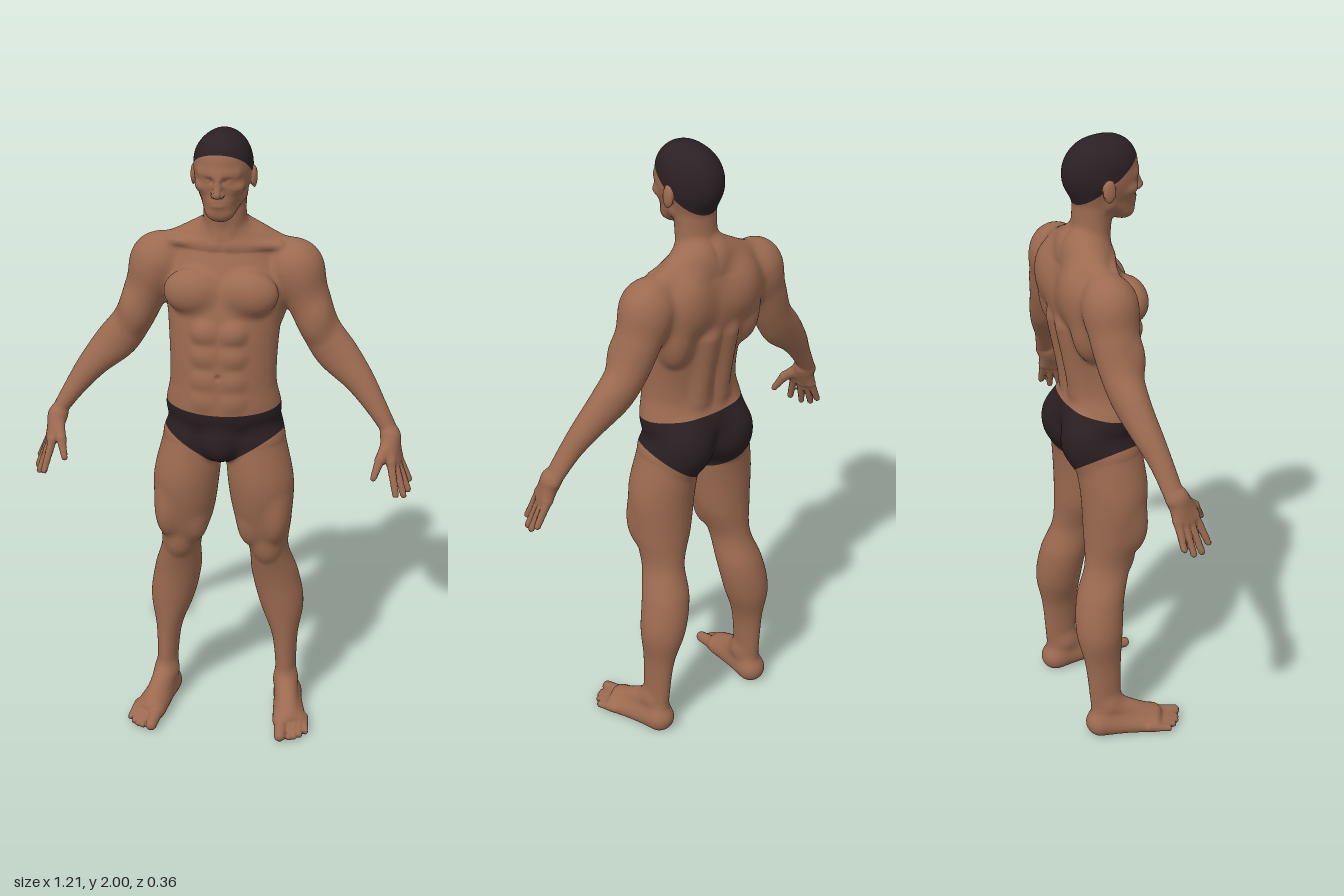
import * as THREE from 'three';

const { abs, sqrt, min, max, floor, hypot } = Math;
const mat = (name, color) => Object.assign(new THREE.MeshStandardMaterial({ color }), { name });

// Smooth union, ellipsoid and tapered rod distances
const smin = (a, b, k) => min(a, b) - max(k - abs(a - b), 0) ** 2 / (4 * k);
function ell(x, y, z, rx, ry, rz) {
  const a = x / rx, b = y / ry, c = z / rz, k0 = sqrt(a * a + b * b + c * c);
  const e = a / rx, f = b / ry, g = c / rz, k1 = sqrt(e * e + f * f + g * g);
  return k1 < 1e-6 ? -min(rx, ry, rz) : k0 * (k0 - 1) / k1;
}
const ball = (x, y, z, b) => ell(x - b[0], y - b[1], z - b[2], b[3], b[4], b[5]);
function rod(x, y, z, r) {
  const ax = x - r[0], ay = y - r[1], az = z - r[2], bx = r[4] - r[0], by = r[5] - r[1], bz = r[6] - r[2];
  const t = min(1, max(0, (ax * bx + ay * by + az * bz) / (bx * bx + by * by + bz * bz)));
  const dx = ax - t * bx, dy = ay - t * by, dz = az - t * bz;
  return sqrt(dx * dx + dy * dy + dz * dz) - r[3] - t * (r[7] - r[3]);
}

// Limb through oval sections: [position along axis, centre z, radius a, radius z, centre a]
function column(rows) {
  const lo = rows[0][0], hi = rows[rows.length - 1][0];
  const curve = new THREE.CubicInterpolant(new Float32Array(rows.map(r => r[0])),
    new Float32Array(rows.flatMap(([, cz, ra, rz, ca = 0]) => [cz, ra, rz, ca])), 4);
  return (u, a, z) => {
    const [cz, ra, rz, ca] = curve.evaluate(u);
    return ell(a - ca, max(0, lo - u, u - hi), z - cz, ra, min(ra, rz), rz);
  };
}
const trunk = column([[1.04, -0.02, 0.16, 0.11], [1.1, -0.016, 0.182, 0.127], [1.2, -0.003, 0.168, 0.115],
  [1.28, -0.007, 0.168, 0.116], [1.4, -0.026, 0.176, 0.125], [1.52, -0.048, 0.186, 0.12], [1.62, -0.06, 0.14, 0.085]]);
const neck = column([[1.62, -0.06, 0.085, 0.06], [1.72, -0.038, 0.067, 0.06], [1.82, -0.03, 0.066, 0.062]]);
const face = column([[1.775, 0.053, 0.045, 0.04], [1.83, 0.044, 0.068, 0.058], [1.92, 0.028, 0.08, 0.076]]);
const leg = column([[0.1, -0.071, 0.031, 0.05, 0.202], [0.27, -0.078, 0.043, 0.06, 0.195],
  [0.385, -0.085, 0.072, 0.075, 0.182], [0.5, -0.073, 0.076, 0.077, 0.161], [0.61, -0.04, 0.064, 0.076, 0.143],
  [0.72, -0.02, 0.09, 0.092, 0.128], [0.86, -0.01, 0.105, 0.107, 0.12], [1, -0.025, 0.095, 0.11, 0.1]]);
const arm = column([[0, -0.065, 0.072, 0.076, -0.02], [0.1, -0.064, 0.07, 0.076, -0.023],
  [0.22, -0.06, 0.062, 0.063, -0.037], [0.31, -0.05, 0.065, 0.055, -0.028], [0.42, -0.028, 0.046, 0.045, -0.002],
  [0.5, -0.008, 0.034, 0.036, 0.008], [0.61, 0.013, 0.022, 0.031, 0.014]]);

// Muscles of the left half. Balls: [centre, radii]; rods: [start, radius, end, radius]
const torsoBalls = [
  [0.225, 1.55, -0.065, 0.079, 0.09, 0.08], [0.285, 1.4, -0.025, 0.04, 0.06, 0.038], // shoulder, biceps
  [0.135, 1.47, -0.09, 0.055, 0.13, 0.065], [0.095, 1.55, -0.115, 0.08, 0.1, 0.062], // lat, shoulder blade
  [0.083, 1.04, -0.085, 0.088, 0.1, 0.082], [0, 1.01, 0.065, 0.055, 0.065, 0.052]]; // buttock, trunks front
const torsoRods = [[0.03, 1.665, -0.08, 0.05, 0.19, 1.6, -0.07, 0.044], // trapezius
  [0.04, 1.2, -0.095, 0.03, 0.04, 1.42, -0.135, 0.03]]; // back muscle
const chestBalls = [[0.087, 1.5, 0.045, 0.09, 0.072, 0.06], // chest, then abdomen
  ...[1.38, 1.305, 1.225, 1.16].map(y => [0.04, y, 0.081, 0.042, 0.038, 0.032])];
const chestRods = [[0.02, 1.64, 0.012, 0.01, 0.17, 1.635, -0.03, 0.01], // collar bone
  [0.054, 1.79, -0.025, 0.012, 0.014, 1.665, 0.002, 0.01]]; // neck muscle
const legBalls = [[0.09, 0.7, 0.015, 0.036, 0.06, 0.04], [0.175, 0.75, 0.03, 0.04, 0.09, 0.05], // thigh
  [0.143, 0.63, 0.015, 0.034, 0.045, 0.028]]; // kneecap

// Instep and sole, big toe, thumb base and thumb tip, then the rows of toes and fingers
const footRods = [[0.203, 0.1, -0.055, 0.038, 0.232, 0.04, 0.08, 0.03],
  [0.204, 0.042, -0.094, 0.043, 0.21, 0.03, 0.09, 0.03], [0.208, 0.035, -0.085, 0.036, 0.268, 0.022, 0.075, 0.024]];
const toeRods = [[0.21, 0.028, 0.1, 0.023, 0.214, 0.018, 0.17, 0.018]];
const palmRods = [[0.528, 1.045, 0.03, 0.019, 0.506, 0.995, 0.088, 0.015]];
const fingerRods = [[0.506, 0.995, 0.088, 0.015, 0.49, 0.945, 0.118, 0.01]];
for (let i = 0; i < 4; i++) {
  const z = 0.162 - 0.0035 * i - 0.0038 * i * i;
  toeRods.push([0.237 + 0.0137 * i, 0.026, z - 0.065, 0.015, 0.243 + 0.016 * i, 0.012, z, 0.011]);
  const knuckle = [0.538 + 0.012 * i - 0.0022 * i * i, 0.985 - 0.012 * i + 0.004 * i * i, 0.074 - 0.0207 * i];
  const tip = [0.56 + 0.028 * i - 0.0056 * i * i, 0.89 - 0.021 * i + 0.0087 * i * i, 0.112 - 0.0313 * i];
  palmRods.push([0.53, 1.05, 0.03 - 0.005 * i, 0.02, ...knuckle, 0.015]);
  fingerRods.push([...knuckle, 0.0135, ...tip, 0.01]);
}

const headBalls = [[0, 1.889, -0.012, 0.089, 0.111, 0.114], [0, 1.764, 0.07, 0.028, 0.024, 0.022], // skull, chin
  [0.05, 1.845, 0.068, 0.022, 0.014, 0.022], [0, 1.796, 0.082, 0.03, 0.02, 0.02]]; // cheekbone, mouth
const headRods = [[0.052, 1.805, 0, 0.022, 0.018, 1.766, 0.07, 0.02], // jaw, brow, nose
  [0.01, 1.887, 0.098, 0.011, 0.05, 1.889, 0.078, 0.011], [0, 1.87, 0.104, 0.008, 0, 1.83, 0.12, 0.012]];
const hollows = [[0.031, 1.867, 0.112, 0.019, 0.01, 0.016], [0, 1.243, 0.118, 0.006, 0.007, 0.014]]; // eye socket, navel
const ear = [0.092, 1.855, -0.014, 0.01, 0.034, 0.02];
const faceBalls = [ear, [0.031, 1.866, 0.084, 0.014, 0.011, 0.014], [0.012, 1.826, 0.11, 0.008, 0.008, 0.01], // eye, nostril
  [0, 1.802, 0.096, 0.022, 0.005, 0.009], [0, 1.79, 0.096, 0.018, 0.006, 0.009]]; // lips

// Blending order; a negative blend carves
const inTorso = (x, y) => y > 0.85 && y < 1.78 && x < 0.42, inFoot = (x, y) => y < 0.2;
const inHand = (x, y) => x > 0.42 && y > 0.8 && y < 1.15, inHead = (x, y) => y > 1.68;
const layers = [
  [0.03, inTorso, torsoBalls, torsoRods], [0.02, inTorso, chestBalls, chestRods],
  [0.025, (x, y) => y < 0.95 && x < 0.35, legBalls, []], [0.03, inFoot, [], footRods], [0.007, inFoot, [], toeRods],
  [0.02, inHand, [], palmRods], [0.006, inHand, [], fingerRods],
  [0.02, inHead, headBalls, headRods], [-0.01, (x, y) => y > 1.2, hollows, []], [0.006, inHead, faceBalls, []]];

// Signed distance to the whole figure
function body(px, y, z) {
  const x = abs(px), dx = x - 0.22, dy = y - 1.57;
  let d = 1;
  if (y > 0.8) d = smin(d, trunk(y, x, z), 0.03);
  if (y > 1.5) d = smin(d, neck(y, x, z), 0.03);
  if (y < 1.25) d = smin(d, leg(y, x, z), 0.03);
  if (y > 0.93) d = smin(d, arm(0.5 * dx - 0.866 * dy, 0.866 * dx + 0.5 * dy, z), 0.025);
  if (y > 1.68) d = smin(d, face(y, x, z), 0.02);
  for (const [k, test, balls, rods] of layers) {
    if (!test(x, y)) continue;
    for (const r of rods) d = smin(d, rod(x, y, z, r), k);
    for (const b of balls) d = k > 0 ? smin(d, ball(x, y, z, b), k) : -smin(-d, ball(x, y, z, b), -k);
  }
  return max(d, -y);
}
function slope(x, y, z, e = 0.0015) {
  const g = [body(x + e, y, z) - body(x - e, y, z), body(x, y + e, z) - body(x, y - e, z),
    body(x, y, z + e) - body(x, y, z - e)];
  return { g: g.map(t => t / (hypot(...g) || 1)), rate: hypot(...g) / (2 * e) || 1 };
}

// Wraps the distance field in a smooth skin; returns triangles of [x, y, z, nx, ny, nz]
function skinTriangles() {
  const h = 0.0085, half = 76, n = [153, 241, 51], s = [1, n[0], n[0] * n[1]];
  const at = (i, j, k) => [(i - half) * h, j * h - 0.0125, k * h - 0.22];
  const v = new Float32Array(s[2] * n[2]), cells = new Map(), tris = [];
  for (let k = 0; k < n[2]; k++) for (let j = 0; j < n[1]; j++) for (let i = 0; i <= half; i++) {
    const o = j * s[1] + k * s[2] + half;
    v[o + i] = v[o - i] = body(...at(i + half, j, k));
  }
  const vertex = c => {
    if (cells.has(c)) return cells.get(c);
    const p = [0, 0, 0];
    let count = 0;
    for (let a = 0; a < 3; a++) for (let q = 0; q < 4; q++) {
      const b = (a + 1) % 3, e = (a + 2) % 3, i0 = c + (q & 1) * s[b] + (q >> 1) * s[e];
      const v0 = v[i0], v1 = v[i0 + s[a]];
      if ((v0 < 0) === (v1 < 0)) continue;
      p[a] += v0 / (v0 - v1); p[b] += q & 1; p[e] += q >> 1; count++;
    }
    const w = at(...[c % n[0], floor(c / s[1]) % n[1], floor(c / s[2])].map((t, a) => t + p[a] / count));
    const { g, rate } = slope(...w), move = max(-h / 2, min(h / 2, body(...w) / rate));
    const onSkin = w.map((t, a) => t - move * g[a]);
    cells.set(c, [...onSkin, ...slope(...onSkin).g]);
    return cells.get(c);
  };
  for (let c = s[2]; c < v.length - s[2]; c++) for (let a = 0; a < 3; a++) {
    const inside = v[c] < 0, b = s[(a + 1) % 3], e = s[(a + 2) % 3];
    if (inside === (v[c + s[a]] < 0)) continue;
    const q = [c - b - e, c - e, c, c - b].map(vertex);
    if (!inside) q.reverse();
    tris.push([q[0], q[1], q[2]], [q[0], q[2], q[3]]);
  }
  return tris;
}

// Cuts triangles along f = 0 into [f >= 0, f < 0]
function cut(tris, f) {
  const sides = [[], []];
  for (const t of tris) {
    const d = t.map(p => f(abs(p[0]), p[1], p[2], p[0]));
    sides.forEach((list, side) => {
      const inSide = e => (e >= 0) === (side === 0);
      const poly = t.flatMap((p, i) => {
        const j = (i + 1) % 3, w = d[i] / (d[i] - d[j]), kept = inSide(d[i]) ? [p] : [];
        return inSide(d[i]) === inSide(d[j]) ? kept : [...kept, p.map((e, m) => e + (t[j][m] - e) * w)];
      });
      for (let i = 2; i < poly.length; i++) list.push([poly[0], poly[i - 1], poly[i]]);
    });
  }
  return sides;
}
function toMesh(name, tris, material) {
  const points = [...new Set(tris.flat())], ids = new Map(points.map((p, i) => [p, i]));
  const geo = new THREE.BufferGeometry().setIndex(tris.flat().map(p => ids.get(p)));
  geo.setAttribute('position', new THREE.Float32BufferAttribute(points.flatMap(p => p.slice(0, 3)), 3));
  geo.setAttribute('normal', new THREE.Float32BufferAttribute(points.flatMap(p => p.slice(3)), 3));
  return Object.assign(new THREE.Mesh(geo, material), { name });
}

export function createModel() {
  const skin = mat('skin', 0x9c6a50), hair = mat('hair', 0x2b2024), cloth = mat('trunks cloth', 0x2a1f22);
  const group = new THREE.Group();
  const armCut = (x, y) => x - 0.2 - max(0, 1.3 - y) * 0.5;
  let rest = skinTriangles();
  // Each part is cut from what the earlier ones leave
  for (const [name, material, f] of [
    ['hair', hair, (x, y, z) => min(y - 1.872 - 0.75 * z, y - 1.785, ball(x, y, z, ear) - 0.003)],
    ['head', skin, (x, y) => y - 1.735],
    ['trunks', cloth, (x, y, z) => min(1.13 - 0.12 * z - y, y - 0.91 - 0.68 * x - 0.2 * z, 0.3 - x)],
    ['leftArm', skin, (x, y, z, sx) => (sx > 0 ? armCut(x, y) : -1)], ['rightArm', skin, armCut],
    ['leftLeg', skin, (x, y, z, sx) => min(1.08 - y, sx)], ['rightLeg', skin, (x, y) => 1.08 - y],
    ['torso', skin, () => 1]]) {
    const [part, left] = cut(rest, f);
    group.add(toMesh(name, part, material));
    rest = left;
  }
  return group;
}
